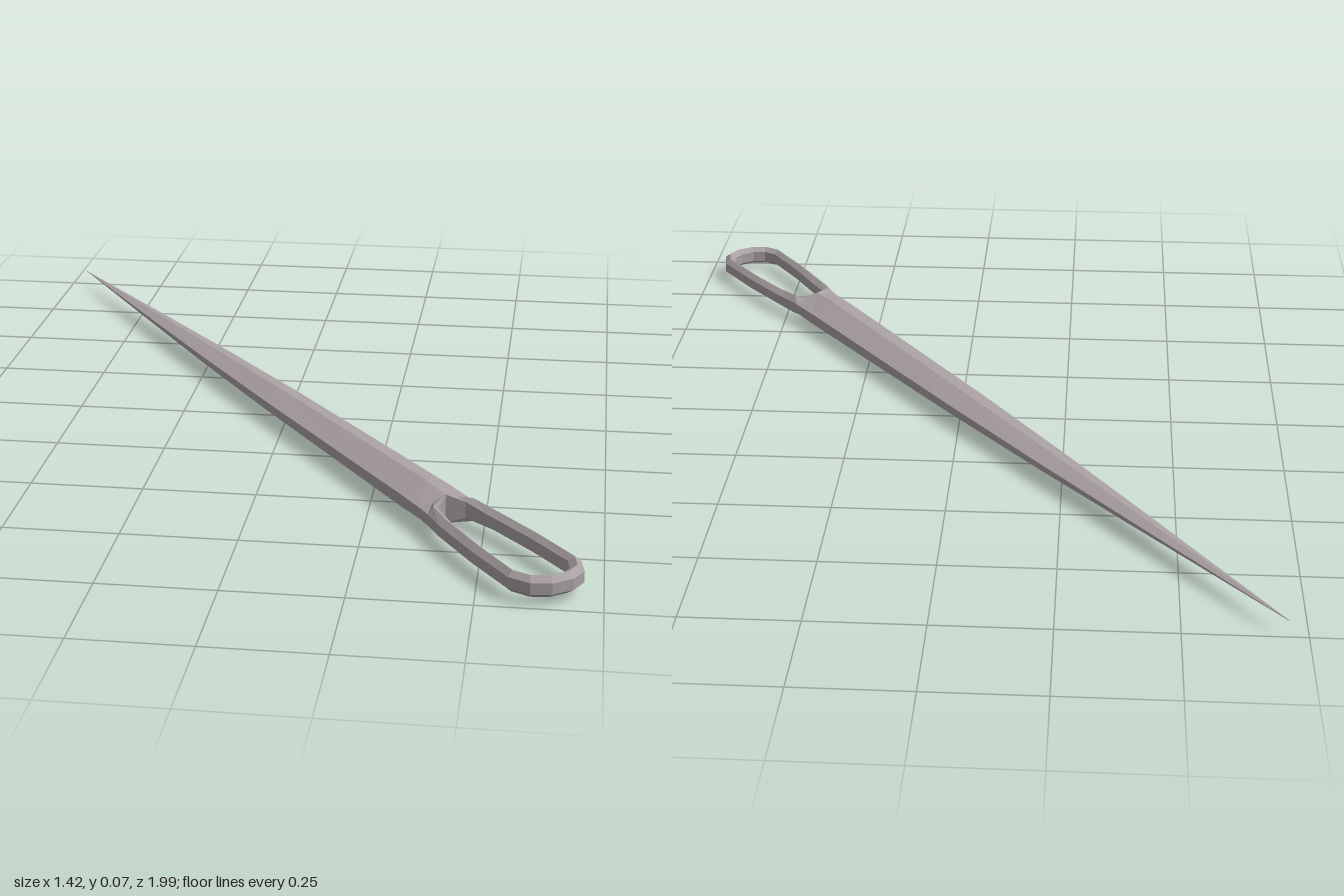
import * as THREE from 'three';

const material = new THREE.MeshStandardMaterial({ color: 0xa89fa2, flatShading: true });

// Skin a series of equally sized rings of [x, y, z] points
function loft(name, rings) {
  const n = rings[0].length;
  const index = [];
  for (let i = 0; i < rings.length - 1; i++) {
    for (let j = 0; j < n; j++) {
      const k = (j + 1) % n;
      const a = i * n + j, b = i * n + k, c = a + n, d = b + n;
      index.push(a, b, d, a, d, c);
    }
  }
  const geometry = new THREE.BufferGeometry();
  geometry.setAttribute('position', new THREE.Float32BufferAttribute(rings.flat(2), 3));
  geometry.setIndex(index);
  geometry.computeVertexNormals();
  const mesh = new THREE.Mesh(geometry, material);
  mesh.name = name;
  return mesh;
}

export function createModel() {
  const group = new THREE.Group();
  group.name = 'needle';

  // Tapering shaft with a ridge above and below: [distance from tip, half width, half height]
  const shaft = [
    [0, 0.0005, 0.0005], [0.5, 0.024, 0.012], [0.85, 0.039, 0.02], [1.22, 0.05, 0.027],
    [1.6, 0.056, 0.032], [1.88, 0.06, 0.036], [1.965, 0.061, 0.032],
  ].map(([x, w, h]) => {
    const s = h * 0.37;
    return [[x, h, 0], [x, s, w], [x, -s, w], [x, -h, 0], [x, -s, -w], [x, s, -w]];
  });

  // Half of the eye loop: outer x, z, inner x, z, then half heights outer, middle, inner
  const half = [
    [1.965, 0.061, 1.965, 0, 0.012, 0.022, 0.032],
    [2.0, 0.064, 1.99, 0.034, 0.012, 0.026, 0.018],
    [2.06, 0.073, 2.06, 0.044, 0.012, 0.023, 0.013],
    [2.2, 0.083, 2.2, 0.056, 0.012, 0.023, 0.013],
    [2.34, 0.085, 2.33, 0.06, 0.012, 0.023, 0.013],
    [2.385, 0.063, 2.36, 0.045, 0.012, 0.023, 0.013],
    [2.405, 0.025, 2.375, 0.018, 0.012, 0.023, 0.013],
  ];
  const mirrored = half.map(([ox, oz, ix, iz, ...h]) => [ox, -oz, ix, -iz, ...h]).reverse();
  const eye = [...half, ...mirrored].map(([ox, oz, ix, iz, ho, hm, hi]) => {
    const mx = (ox + ix) / 2, mz = (oz + iz) / 2;
    return [[mx, hm, mz], [ox, ho, oz], [ox, -ho, oz], [mx, -hm, mz], [ix, -hi, iz], [ix, hi, iz]];
  });

  // Lay the needle diagonally with its tip at the back right
  const needle = new THREE.Group();
  needle.name = 'needleBody';
  needle.add(loft('shaft', shaft), loft('eye', eye));
  needle.rotation.y = -Math.atan2(0.819, 0.574);
  needle.position.set(-0.71, 0.036, -1);
  group.add(needle);
  return group;
}
